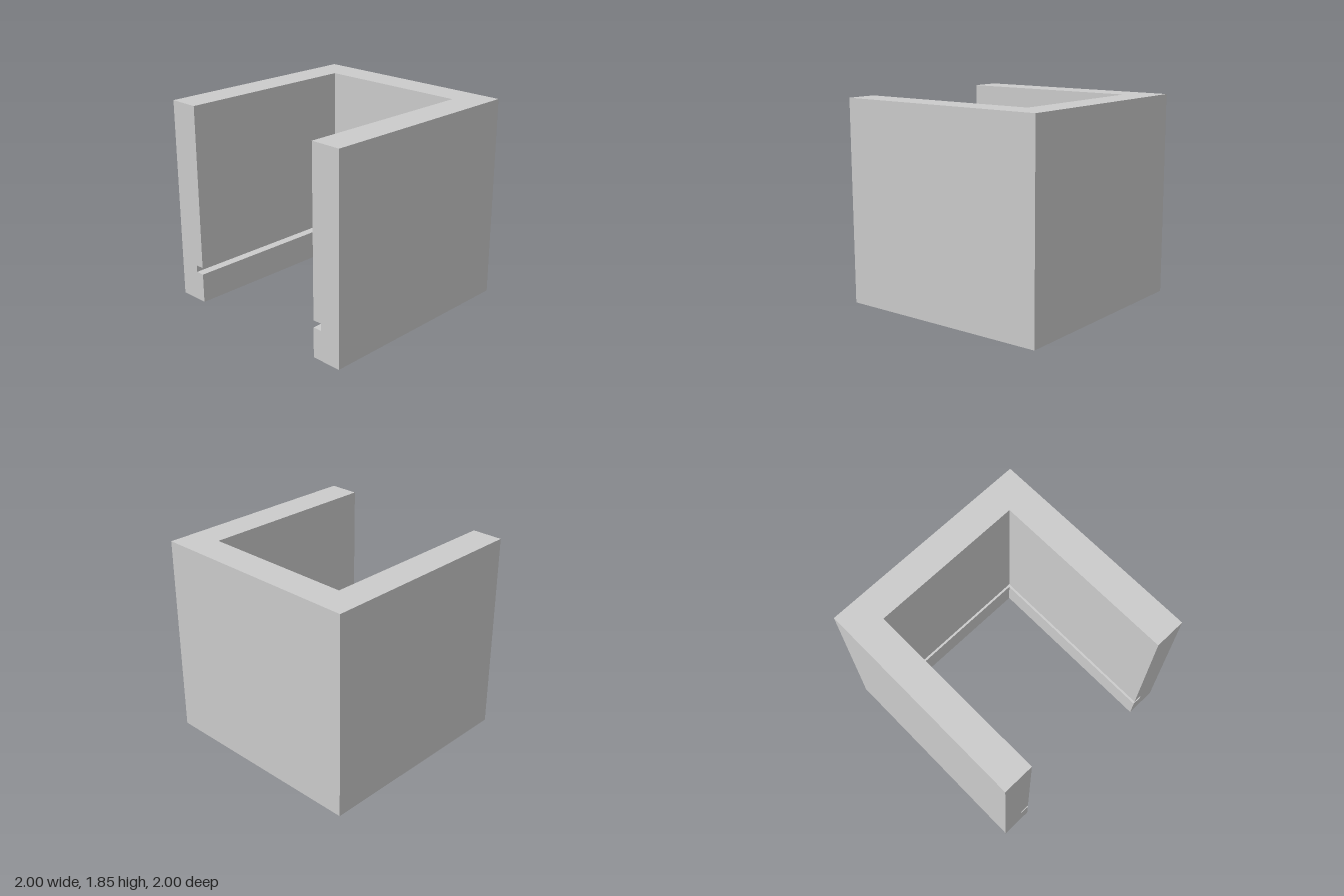
import * as THREE from 'three';

const HEIGHT = 1.85;
const WALL = 0.285;     // wall thickness
const GROOVE = 0.2;     // outer skin left behind the groove

// Wall cross-section: x = distance in from the outer face, y = height
const profile = [
  [0, 0], [WALL, 0],
  [WALL, 0.275], [GROOVE, 0.275], [GROOVE, 0.34], [WALL, 0.34],
  [WALL, HEIGHT], [0, HEIGHT],
].map(([d, y]) => new THREE.Vector2(d, y));

// Sections along the U: left front end, two mitred back corners, right front end
const stations = [
  (p) => [1 - p.x, p.y, 1],
  (p) => [1 - p.x, p.y, -1 + p.x],
  (p) => [-1 + p.x, p.y, -1 + p.x],
  (p) => [-1 + p.x, p.y, 1],
];

function groovedWallGeometry() {
  const rings = stations.map((place) => profile.map(place));
  const positions = [];
  const tri = (a, b, c) => positions.push(...a, ...b, ...c);

  // Faces swept between neighbouring sections
  for (let s = 0; s < rings.length - 1; s++) {
    const near = rings[s], far = rings[s + 1];
    for (let i = 0; i < profile.length; i++) {
      const j = (i + 1) % profile.length;
      tri(near[i], near[j], far[j]);
      tri(near[i], far[j], far[i]);
    }
  }

  // Front end faces
  const first = rings[0], last = rings[rings.length - 1];
  for (const [a, b, c] of THREE.ShapeUtils.triangulateShape(profile, [])) {
    tri(first[a], first[c], first[b]);
    tri(last[a], last[b], last[c]);
  }

  const geometry = new THREE.BufferGeometry();
  geometry.setAttribute('position', new THREE.Float32BufferAttribute(positions, 3));
  geometry.computeVertexNormals();
  return geometry;
}

export function createModel() {
  const group = new THREE.Group();
  group.name = 'groovedHousing';

  // U-shaped wall with a slot running round its inside
  const material = new THREE.MeshStandardMaterial({ color: 0xcccccc, flatShading: true });
  const wall = new THREE.Mesh(groovedWallGeometry(), material);
  wall.name = 'groovedWall';
  group.add(wall);
  return group;
}
